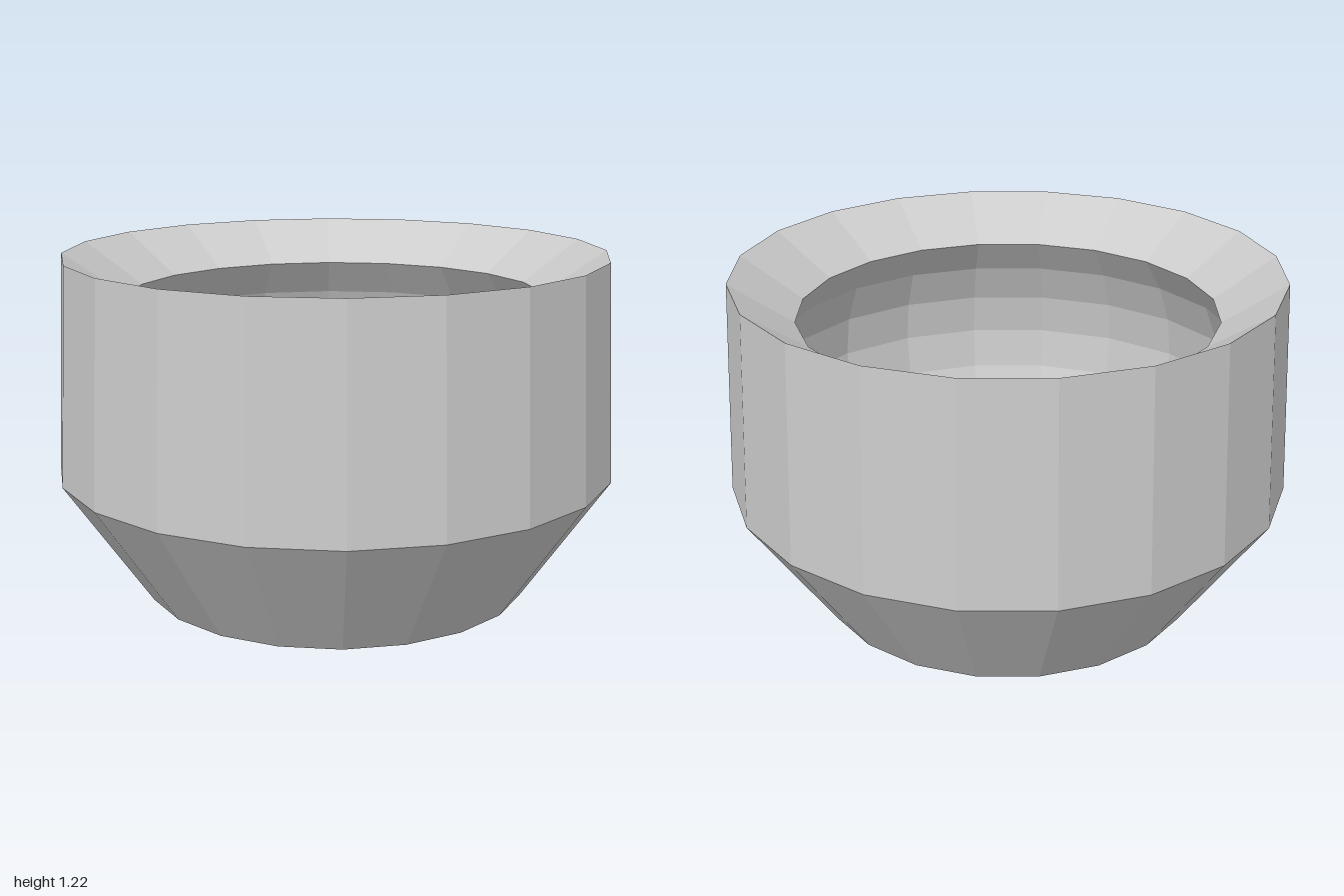
import * as THREE from 'three';

const SIDES = 20;

export function createModel() {
  const group = new THREE.Group();
  group.name = 'socketRing';

  // Outer wall, from the foot up to the rim
  const profile = [
    new THREE.Vector2(0.69, 0),
    new THREE.Vector2(1, 0.45),
    new THREE.Vector2(0.965, 1.22),
  ];

  // Funnel rim, then a bulging hollow that undercuts the lip and ends at the lower opening
  const radius = 0.912, halfHeight = 0.738, centreY = 0.641, rings = 7;
  for (let i = 0; i <= rings; i++) {
    const a = THREE.MathUtils.degToRad(35.5 - (82.7 * i) / rings);
    profile.push(new THREE.Vector2(radius * Math.cos(a), centreY + halfHeight * Math.sin(a)));
  }

  // Chamfer of the lower opening closes the section
  profile.push(profile[0].clone());

  const body = new THREE.Mesh(
    new THREE.LatheGeometry(profile, SIDES),
    new THREE.MeshStandardMaterial({ color: 0xcccccc, flatShading: true })
  );
  body.name = 'socketBody';
  group.add(body);
  return group;
}
